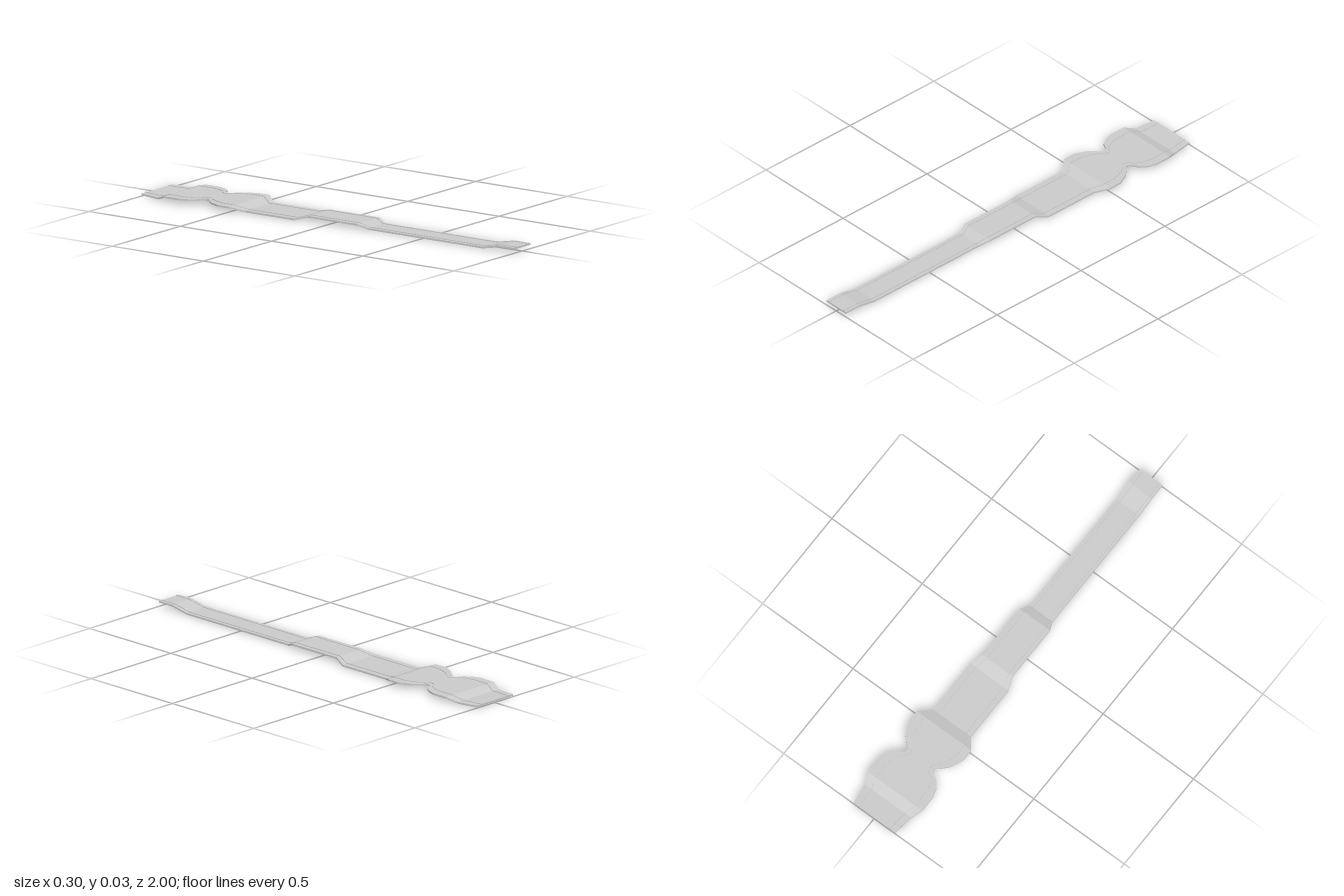
import * as THREE from 'three';

// Stations along the strap: z, half width, height of the underside
const STATIONS = [
  [-1, 0.115, 0.006], [-0.9, 0.127, 0.003], [-0.85, 0.15, 0.02], [-0.77, 0.15, 0.02],
  [-0.73, 0.137, 0.02], [-0.7, 0.115, 0.02], [-0.685, 0.085, 0.02], [-0.67, 0.075, 0.02],
  [-0.655, 0.076, 0.02], [-0.64, 0.098, 0.02], [-0.61, 0.125, 0.02], [-0.555, 0.15, 0.02],
  [-0.495, 0.15, 0.02], [-0.44, 0.105, 0.002], [-0.17, 0.105, 0.002], [-0.11, 0.083, 0.018],
  [0.16, 0.083, 0.018], [0.205, 0.063, 0.002], [0.83, 0.063, 0.002], [0.92, 0.063, 0.019],
  [1, 0.063, 0.019],
];
const THICK = 0.008;

// Closed strip through rectangular sections [z, left x, right x, bottom y, top y]
function sweep(sections) {
  const pos = [], index = [];
  for (const [z, x0, x1, y0, y1] of sections) pos.push(x0, y0, z, x1, y0, z, x1, y1, z, x0, y1, z);
  const quad = (a, b, c, d) => index.push(a, b, c, a, c, d);
  const last = (sections.length - 1) * 4;
  for (let i = 0; i < last; i += 4) {
    for (let k = 0; k < 4; k++) {
      const n = (k + 1) % 4;
      quad(i + k, i + n, i + 4 + n, i + 4 + k);
    }
  }
  quad(3, 2, 1, 0);
  quad(last, last + 1, last + 2, last + 3);
  const geo = new THREE.BufferGeometry();
  geo.setAttribute('position', new THREE.Float32BufferAttribute(pos, 3));
  geo.setIndex(index);
  const flat = geo.toNonIndexed();
  flat.computeVertexNormals();
  return flat;
}

export function createModel() {
  const group = new THREE.Group();
  group.name = 'strap';
  const material = new THREE.MeshStandardMaterial({ color: 0xcccccc, flatShading: true });
  const add = (name, sections) => {
    const mesh = new THREE.Mesh(sweep(sections), material);
    mesh.name = name;
    group.add(mesh);
  };

  // Thin stepped strap body
  add('strapBody', STATIONS.map(([z, w, y]) => [z, -w, w, y, y + THICK]));

  // Slim raised cords following each edge
  for (const side of [1, -1]) {
    add(side > 0 ? 'leftCord' : 'rightCord', STATIONS.map(([z, w, y]) => {
      const x = side * w * 0.73;
      return [z, x - 0.0025, x + 0.0025, y + 0.002, y + THICK + 0.003];
    }));
  }

  // Stand on the ground
  group.position.y = -0.002;
  return group;
}
